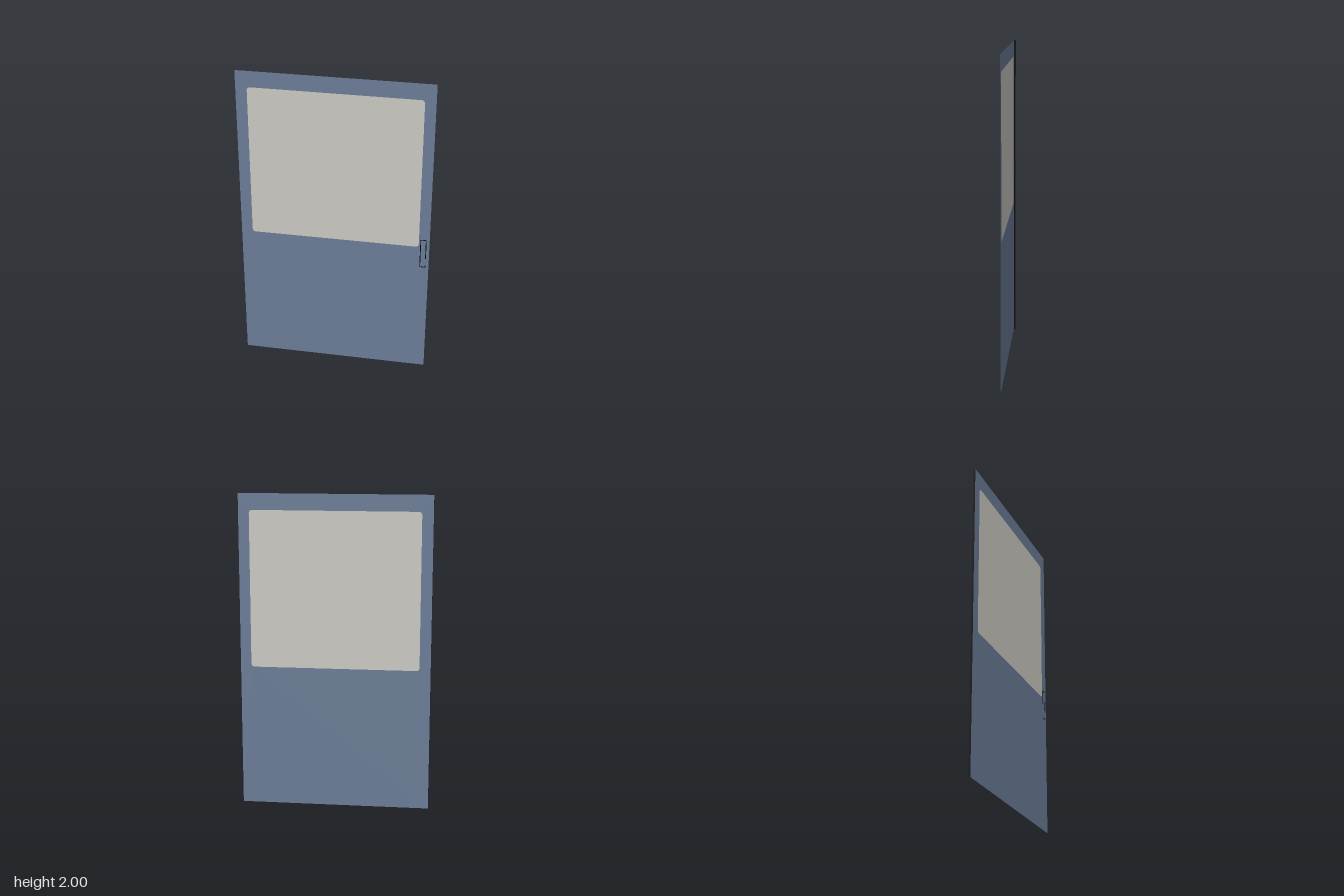
import * as THREE from 'three';

const WIDTH = 1.2, HEIGHT = 2, DEPTH = 0.011;
const WINDOW = { x0: -0.53, x1: 0.533, y0: 0.907, y1: 1.897, r: 0.02 };

// Rounded rectangle drawn into a Shape or Path
function roundedRect(path, { x0, x1, y0, y1, r }) {
  path.moveTo(x0 + r, y0);
  path.lineTo(x1 - r, y0);
  path.absarc(x1 - r, y0 + r, r, -Math.PI / 2, 0);
  path.lineTo(x1, y1 - r);
  path.absarc(x1 - r, y1 - r, r, 0, Math.PI / 2);
  path.lineTo(x0 + r, y1);
  path.absarc(x0 + r, y1 - r, r, Math.PI / 2, Math.PI);
  path.lineTo(x0, y0 + r);
  path.absarc(x0 + r, y0 + r, r, Math.PI, Math.PI * 1.5);
  return path;
}

function material(name, color) {
  const m = new THREE.MeshStandardMaterial({ color, side: THREE.DoubleSide });
  m.name = name;
  return m;
}

export function createModel() {
  const door = new THREE.Group();
  door.name = 'door';
  const paint = material('blue paint', 0x6b7d97);
  const glass = material('pale glass', 0xcbc9c2);
  const black = material('black trim', 0x050505);
  const z = DEPTH / 2;

  const add = (name, geometry, mat, x, y, pz, parent = door) => {
    const mesh = new THREE.Mesh(geometry, mat);
    mesh.name = name;
    mesh.position.set(x, y, pz);
    parent.add(mesh);
    return mesh;
  };

  // Sheet panel with the window opening
  const sheet = new THREE.Shape();
  sheet.moveTo(-WIDTH / 2, 0);
  sheet.lineTo(WIDTH / 2, 0);
  sheet.lineTo(WIDTH / 2, HEIGHT);
  sheet.lineTo(-WIDTH / 2, HEIGHT);
  sheet.closePath();
  sheet.holes.push(roundedRect(new THREE.Path(), WINDOW));
  add('doorPanel', new THREE.ShapeGeometry(sheet, 6), paint, 0, 0, z);

  // Window pane flush in the opening
  const pane = roundedRect(new THREE.Shape(), WINDOW);
  add('windowPane', new THREE.ShapeGeometry(pane, 6), glass, 0, 0, z);

  // Hinge-side flange turned back from the panel
  const flange = add('hingeFlange', new THREE.PlaneGeometry(DEPTH, HEIGHT), black, -WIDTH / 2, HEIGHT / 2, 0);
  flange.rotation.y = -Math.PI / 2;

  // Thin outline of the handle recess: x, y, width, height
  const handle = new THREE.Group();
  handle.name = 'handleOutline';
  door.add(handle);
  const line = 0.005;
  for (const [x, y, w, h] of [
    [0.545, 0.86, line, 0.2],
    [0.579, 0.893, line, 0.134],
    [0.562, 0.958, 0.038, line],
    [0.562, 0.763, 0.038, line],
    [0.579, 0.768, line, 0.014],
  ]) add('handleLine', new THREE.PlaneGeometry(w, h), black, x, y, z + 0.0008, handle);

  return door;
}
